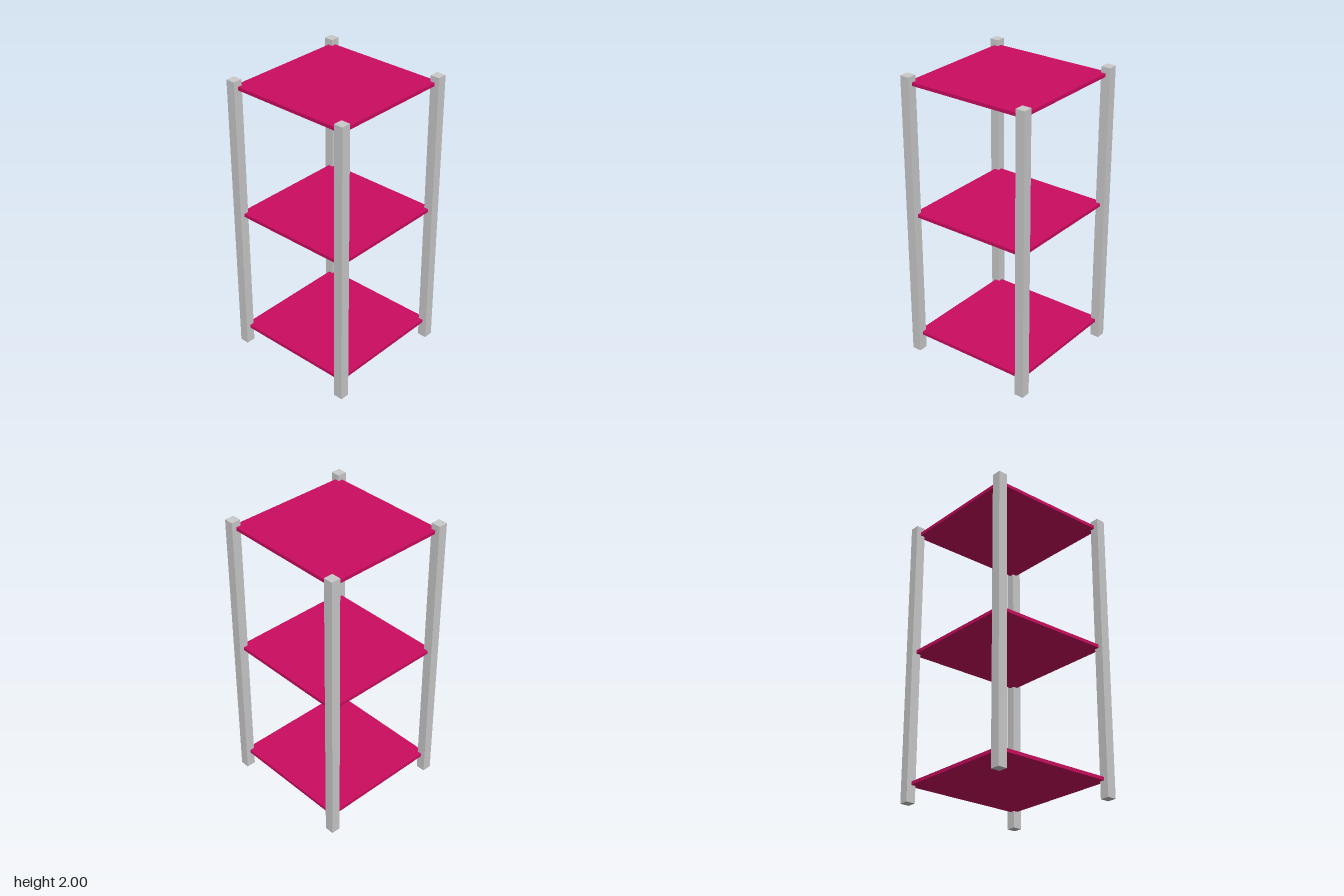
import * as THREE from 'three';

const HEIGHT = 2;
const POST = 0.065;      // post width
const OFFSET = 0.4425;   // post centre, also the shelf's half width
const SHELF = 0.023;     // shelf thickness

export function createModel() {
  const model = new THREE.Group();
  model.name = 'shelfUnit';

  const greyMetal = new THREE.MeshStandardMaterial({ color: 0xcacaca });
  greyMetal.name = 'light grey';
  const pinkBoard = new THREE.MeshStandardMaterial({ color: 0xcb0c5f });
  pinkBoard.name = 'deep pink';

  // Four corner posts
  const postGeometry = new THREE.BoxGeometry(POST, HEIGHT, POST);
  for (const [xName, x] of [['Left', 1], ['Right', -1]]) {
    for (const [zName, z] of [['front', 1], ['back', -1]]) {
      const post = new THREE.Mesh(postGeometry, greyMetal);
      post.name = `${zName}${xName}Post`;
      post.position.set(x * OFFSET, HEIGHT / 2, z * OFFSET);
      model.add(post);
    }
  }

  // Three square shelves whose corners run into the posts
  const shelfGeometry = new THREE.BoxGeometry(2 * OFFSET, SHELF, 2 * OFFSET);
  for (const [name, y] of [['bottomShelf', 0.126], ['middleShelf', 1.037], ['topShelf', 1.948]]) {
    const shelf = new THREE.Mesh(shelfGeometry, pinkBoard);
    shelf.name = name;
    shelf.position.y = y;
    model.add(shelf);
  }

  return model;
}
